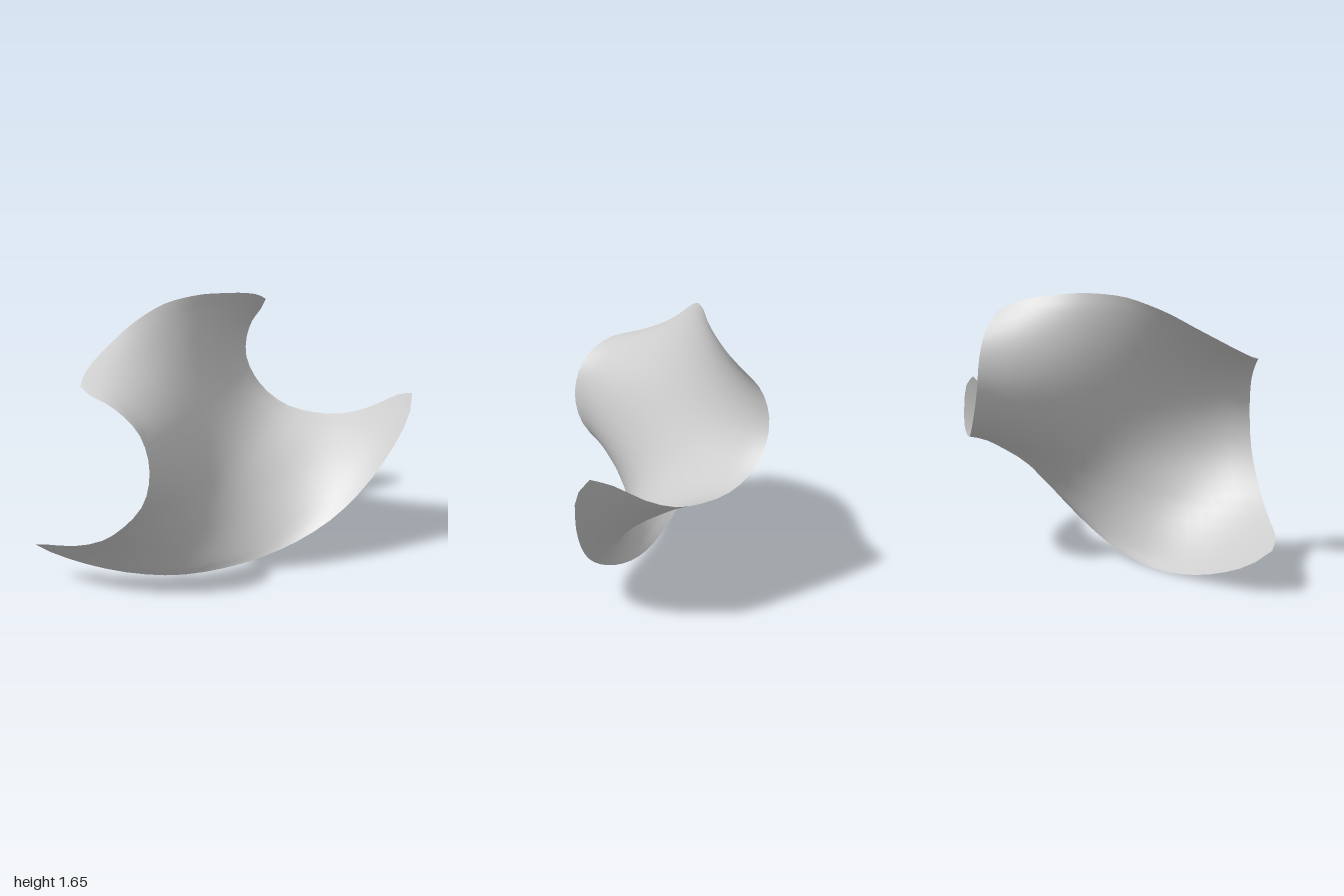
import * as THREE from 'three';

const N = 24; // grid divisions in each direction
const vec = (p) => new THREE.Vector3(...p);
const curve = (points) => new THREE.CatmullRomCurve3(points, false, 'centripetal');

// Tilted centre line of the sheet; a half turn about it swaps front and back
const origin = vec([-0.0215, 0.6625, 0]);
const axis = vec([-0.354, 0.925, 0.138]).normalize();
const axisAt = (y) => origin.clone().addScaledVector(axis, (y - origin.y) / axis.y);
function halfTurn(p) {
  const rel = p.clone().sub(origin);
  return axis.clone().multiplyScalar(2 * rel.dot(axis)).sub(rel).add(origin);
}

// Rim crossing the centre line at height y: its front half, then the same half turned
function crossingRim(frontHalf, y) {
  const half = frontHalf.map(vec);
  const turned = half.map(halfTurn).reverse();
  return curve([...half, axisAt(y), ...turned]).getSpacedPoints(N);
}

const bottom = crossingRim([
  [-0.64, 0.27, 0.985], [-0.61, 0.18, 0.87], [-0.47, 0.085, 0.69],
  [-0.31, 0.023, 0.5], [-0.14, 0, 0.3], [0.03, 0.03, 0.1],
], 0.1);
const top = crossingRim([
  [-0.333, 1.298, 0.847], [-0.39, 1.345, 0.765], [-0.418, 1.41, 0.645],
  [-0.425, 1.475, 0.52], [-0.42, 1.545, 0.385], [-0.405, 1.605, 0.23],
], 1.63);

// Front rim from bottom to top; the back rim is its half turn
const front = curve([
  [-0.64, 0.27, 0.985], [-0.52, 0.315, 1], [-0.31, 0.36, 0.96], [-0.115, 0.44, 0.91],
  [0.02, 0.55, 0.868], [0.14, 0.7, 0.83], [0.19, 0.85, 0.817], [0.187, 0.99, 0.815],
  [0.135, 1.12, 0.825], [0.04, 1.21, 0.85], [-0.08, 1.262, 0.87], [-0.21, 1.277, 0.872],
  [-0.333, 1.298, 0.847],
].map(vec));

// Centre line points, one for each point of the front rim
const spine = curve(
  [0.1, 0.16, 0.28, 0.41, 0.54, 0.68, 0.82, 0.96, 1.1, 1.25, 1.39, 1.53, 1.63].map(axisAt),
);

// Cross line of the sheet: a parabola through front rim, centre line and back rim
function crossLine(v, u) {
  const k = 2 * u - 1;
  const s = k * (1.2 - 0.2 * k * k);
  const f = front.getPoint(v);
  return spine.getPoint(v).multiplyScalar(1 - s * s)
    .addScaledVector(f, s * (s - 1) / 2)
    .addScaledVector(halfTurn(f), s * (s + 1) / 2);
}

function sheetGeometry() {
  const points = [];
  const index = [];
  for (let j = 0; j <= N; j++) {
    for (let i = 0; i <= N; i++) {
      const u = i / N, v = j / N;
      const p = crossLine(v, u);
      // Ease the outer cross lines into the bottom and top rims
      p.addScaledVector(bottom[i].clone().sub(crossLine(0, u)), (1 - v) ** 2);
      p.addScaledVector(top[i].clone().sub(crossLine(1, u)), v ** 2);
      points.push(p);
      if (i < N && j < N) {
        const a = j * (N + 1) + i, d = a + N + 1;
        index.push(a, a + 1, d + 1, a, d + 1, d);
      }
    }
  }
  const geometry = new THREE.BufferGeometry().setFromPoints(points);
  geometry.setIndex(index);
  geometry.computeVertexNormals();
  return geometry;
}

export function createModel() {
  const paleGrey = new THREE.MeshStandardMaterial({ color: 0xcccccc, side: THREE.DoubleSide });
  paleGrey.name = 'paleGrey';
  const sheet = new THREE.Mesh(sheetGeometry(), paleGrey);
  sheet.name = 'twistedSheet';

  const model = new THREE.Group();
  model.name = 'saddleSculpture';
  model.add(sheet);
  return model;
}
